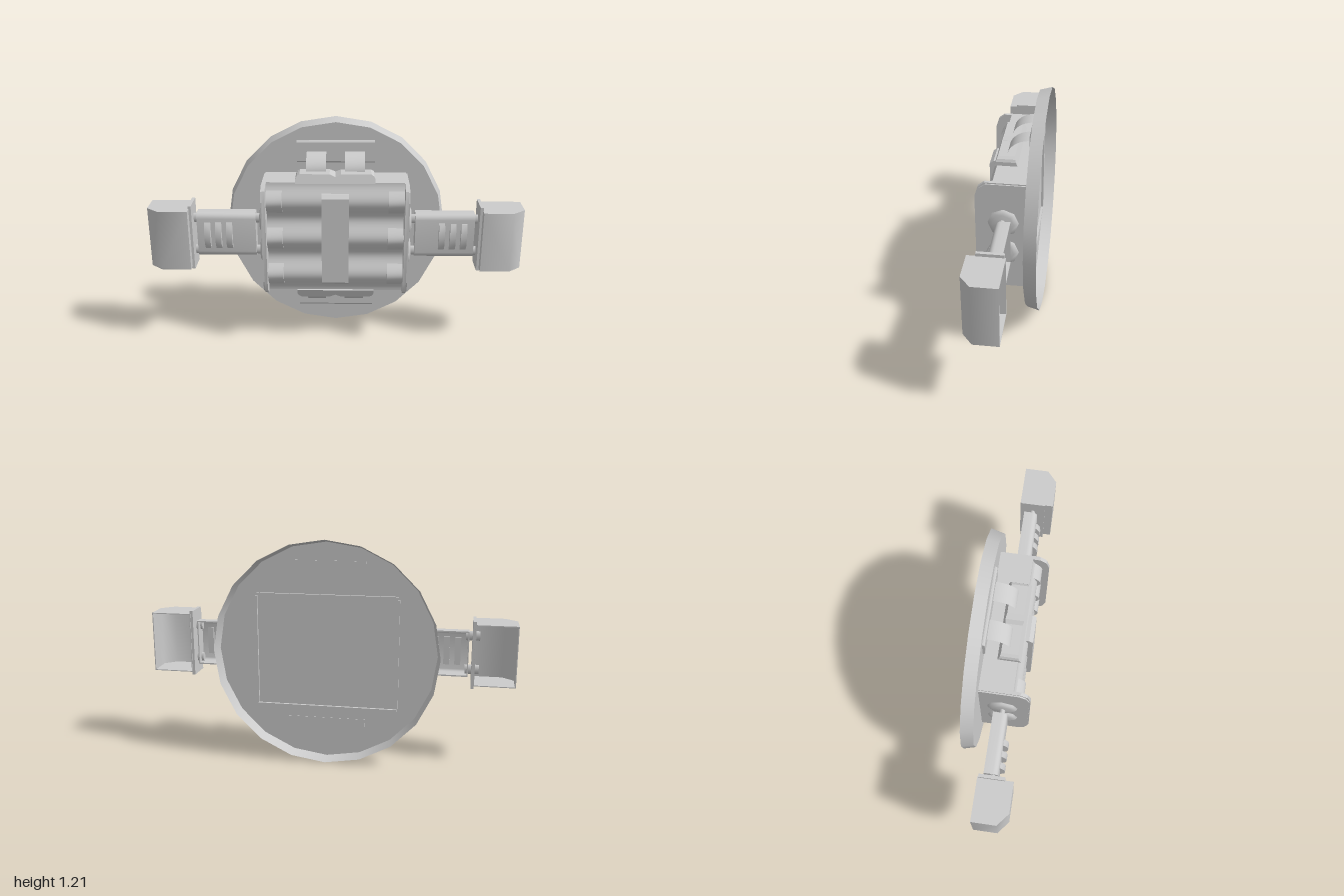
import * as THREE from 'three';
import { toCreasedNormals } from 'three/addons/utils/BufferGeometryUtils.js';

const MID = 0.6125; // height of the centre line
const mat = new THREE.MeshStandardMaterial({ color: 0xcccccc });
const thin = new THREE.MeshStandardMaterial({ color: 0xcccccc, side: THREE.DoubleSide });

function add(parent, name, geometry, material = mat) {
  const mesh = new THREE.Mesh(geometry, material);
  mesh.name = name;
  parent.add(mesh);
}

// Box given by its limits
function box(x0, x1, y0, y1, z0, z1) {
  return new THREE.BoxGeometry(x1 - x0, y1 - y0, z1 - z0)
    .translate((x0 + x1) / 2, (y0 + y1) / 2, (z0 + z1) / 2);
}

// Outline of [z, y] points extruded along x from x0 to x1
function alongX(points, x0, x1, crease = 0.6) {
  const shape = new THREE.Shape(points.map(([z, y]) => new THREE.Vector2(-z, y)));
  const g = new THREE.ExtrudeGeometry(shape, { depth: x1 - x0, bevelEnabled: false });
  return toCreasedNormals(g.rotateY(Math.PI / 2).translate(x0, 0, 0), crease);
}

// Outline of [x, z] points extruded upward from y0 to y1
function upward(points, y0, y1) {
  const shape = new THREE.Shape(points.map(([x, z]) => new THREE.Vector2(x, -z)));
  const g = new THREE.ExtrudeGeometry(shape, { depth: y1 - y0, bevelEnabled: false });
  return toCreasedNormals(g.rotateX(-Math.PI / 2).translate(0, y0, 0), 0.95);
}

function range(a, b, n, fn) {
  return Array.from({ length: n + 1 }, (_, i) => fn(a + ((b - a) * i) / n));
}

// Front surface of the three stacked lobes, as a smooth wave
const lobeZ = (y) => 0.094 - 0.018 * Math.cos((2 * Math.PI * (y - 0.3)) / 0.2083);

function backDish(group) {
  // Flat 20-sided face with a flared rim, open at the rear
  const face = new THREE.CircleGeometry(0.59, 20).translate(0, MID, -0.1);
  add(group, 'dishFace', face, thin);
  const rim = new THREE.CylinderGeometry(0.59, 0.607, 0.065, 20, 1, true);
  rim.rotateY(Math.PI / 2).rotateX(Math.PI / 2).translate(0, MID, -0.1325);
  add(group, 'dishRim', rim, thin);

  // Low frame around the body's rear
  for (const s of [-1, 1]) {
    const y = MID + s * 0.307;
    add(group, 'rearFrameRail', box(-0.38, 0.38, y - 0.006, y + 0.006, -0.113, -0.1));
    const x = s * 0.381;
    add(group, 'rearFramePost', box(x - 0.006, x + 0.006, 0.315, 0.91, -0.113, -0.1));
  }
}

function body(group) {
  const lobes = range(0.3, 0.925, 48, (y) => [lobeZ(y), y]);
  add(group, 'lobedBody', alongX([[-0.098, 0.3], ...lobes, [-0.098, 0.925]], -0.365, 0.365));

  // End plates with rounded front corners
  const end = [[-0.098, 0.3], [0.115, 0.3], [0.148, 0.325], [0.165, 0.38],
    [0.165, 0.845], [0.148, 0.9], [0.115, 0.925], [-0.098, 0.925]];
  const rim = end.map(([z, y]) => [z > 0 ? z - 0.006 : z, MID + (y - MID) * 0.98]);
  for (const s of [-1, 1]) {
    add(group, 'endPlate', alongX(end, s * 0.3725 - 0.0085, s * 0.3725 + 0.0085, 0.3));
    add(group, 'endPlateRim', alongX(rim, s * 0.38 - 0.008, s * 0.38 + 0.008, 0.3));
    // Lens-shaped tabs that swell out of each lobe
    for (const y of [0.404, MID, 0.821]) {
      const front = range(-1, 1, 12, (t) => {
        const v = y + t * 0.062;
        return [lobeZ(v) + 0.017 * (1 - t * t), v];
      });
      const tab = [[0.05, y - 0.062], ...front, [0.05, y + 0.062]];
      add(group, 'lobeTab', alongX(tab, s * 0.322 - 0.042, s * 0.322 + 0.042));
    }
  }

  // Vertical band over the lobes
  add(group, 'frontBand', alongX([[0.07, 0.355], [0.115, 0.355], [0.136, 0.372],
    [0.136, 0.853], [0.115, 0.87], [0.07, 0.87]], -0.072, 0.072, 0.3));
}

// Clip above the body with two straps and a wall pad; built about the centre line
function clip() {
  const g = new THREE.Group();
  // Tapered block with a shallow notch in the middle
  const front = new THREE.Shape([[-0.21, 0.31], [0.21, 0.31], [0.21, 0.333], [0.203, 0.347],
    [0.188, 0.357], [0.03, 0.357], [0, 0.343], [-0.03, 0.357], [-0.188, 0.357],
    [-0.203, 0.347], [-0.21, 0.333]].map((p) => new THREE.Vector2(...p)));
  const block = new THREE.ExtrudeGeometry(front, { depth: 0.12, bevelEnabled: false });
  block.translate(0, 0, -0.06);
  const p = block.attributes.position;
  for (let i = 0; i < p.count; i++) {
    p.setZ(i, p.getZ(i) * (1 - 6 * (p.getY(i) - 0.31)));
  }
  block.computeVertexNormals();
  add(g, 'clipBlock', block.translate(0, 0, 0.031));

  // Thin straps arching from the pad down to the block
  for (const x of [-0.103, 0.103]) {
    const strap = new THREE.PlaneGeometry(0.105, 1, 1, 10);
    const q = strap.attributes.position;
    for (let i = 0; i < q.count; i++) {
      const a = (q.getY(i) + 0.5) * (Math.PI / 2);
      q.setXYZ(i, q.getX(i) + x, 0.345 + 0.088 * Math.sin(a), -0.095 + 0.125 * Math.cos(a));
    }
    strap.computeVertexNormals();
    add(g, 'clipStrap', strap, thin);
  }
  add(g, 'clipPad', alongX([[-0.102, 0.37], [-0.092, 0.37], [-0.087, 0.378], [-0.087, 0.482],
    [-0.094, 0.492], [-0.102, 0.492]], -0.21, 0.21, 0.3));
  return g;
}

function arm() {
  const g = new THREE.Group();
  for (const y of [0.525, 0.7]) {
    // Pivot dome on the body and the pins at both ends of the link
    const profile = [[0.08, 0], [0.075, 0.013], [0.055, 0.022], [0, 0.026]];
    const dome = new THREE.LatheGeometry(profile.map((p) => new THREE.Vector2(...p)), 8);
    dome.rotateZ(-Math.PI / 2).translate(0.385, y, 0.022);
    add(g, 'pivotDome', dome, thin);
    for (const [x0, x1] of [[0.4, 0.45], [0.73, 0.805]]) {
      const pin = new THREE.CylinderGeometry(0.026, 0.026, x1 - x0, 10).rotateZ(Math.PI / 2);
      add(g, 'pivotPin', pin.scale(1, 1, 0.6).translate((x0 + x1) / 2, y + (y > MID ? 0.005 : -0.005), 0.025));
    }
  }

  // Link: channel with rounded front edges, open at the rear
  const channel = (inset) => {
    const r = 0.03 - inset;
    const h = 0.124 - inset;
    const corner = (s, a) => range(a, a + Math.PI / 2, 5, (t) => [
      0.025 + r * Math.cos(t), MID + s * (h - r) + r * Math.sin(t)]);
    return [[-0.02, MID - h], ...corner(-1, -Math.PI / 2), ...corner(1, 0), [-0.02, MID + h]];
  };
  add(g, 'link', alongX([...channel(0), ...channel(0.007).reverse()], 0.43, 0.748));
  for (const x of [0.43, 0.742]) add(g, 'linkEnd', alongX(channel(0.001), x, x + 0.006));

  // Grip ribs
  for (const x of [0.572, 0.631, 0.69]) {
    add(g, 'gripRib', alongX([[0.035, 0.538], [0.06, 0.54], [0.078, 0.57], [0.082, MID],
      [0.078, 0.658], [0.06, 0.688], [0.035, 0.69]], x - 0.016, x + 0.016, 0.7));
  }

  // End shell: flange, bent wall and two caps, open at the rear
  add(g, 'shellFlange', box(0.765, 0.782, 0.43, 0.795, -0.04, 0.094));
  const edge = [[0.778, -0.045], [0.778, 0.137], [0.935, 0.137], [1, 0.083], [1, -0.045]];
  const inner = [[0.995, -0.045], [0.995, 0.081], [0.933, 0.132], [0.783, 0.132], [0.783, -0.045]];
  add(g, 'shellWall', upward([...edge, ...inner], 0.448, 0.777));
  add(g, 'shellBottom', upward(edge, 0.446, 0.451));
  add(g, 'shellTop', upward(edge, 0.774, 0.779));
  return g;
}

export function createModel() {
  const group = new THREE.Group();
  group.name = 'model';
  backDish(group);
  body(group);
  for (const s of [1, -1]) {
    const c = clip();
    c.name = s > 0 ? 'topClip' : 'bottomClip';
    c.scale.y = s;
    c.position.y = MID;
    group.add(c);

    const a = arm();
    a.name = s > 0 ? 'leftArm' : 'rightArm';
    a.scale.x = s;
    group.add(a);
  }
  return group;
}
